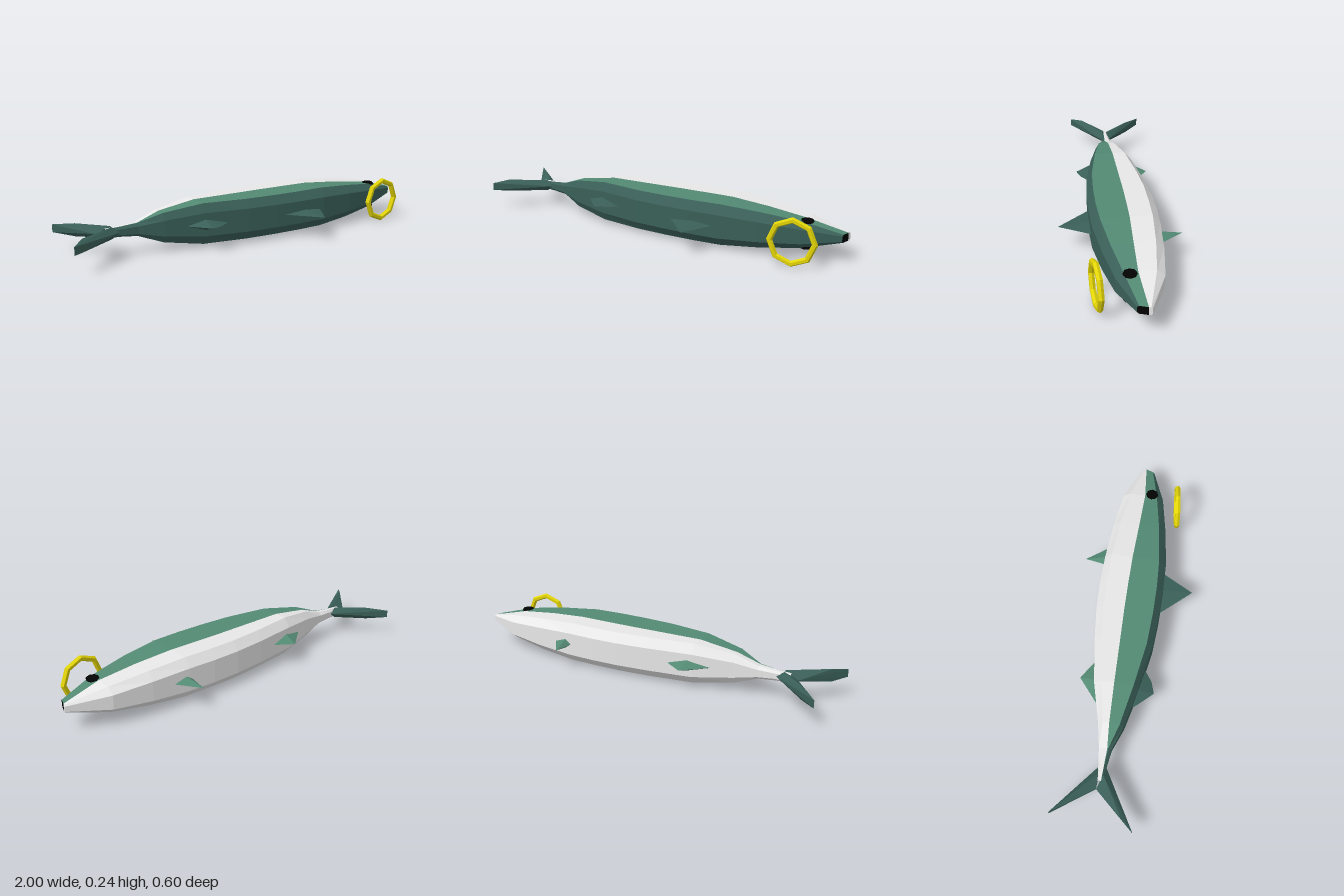
import * as THREE from 'three';
import { ConvexGeometry } from 'three/addons/geometries/ConvexGeometry.js';

const CY = 0.125; // height of the body axis

const material = (name, color) => {
  const m = new THREE.MeshStandardMaterial({ color });
  m.name = name;
  return m;
};

function flat(points) {
  const g = new THREE.BufferGeometry().setFromPoints(points);
  g.computeVertexNormals();
  return g;
}

// Flat-faced skin between consecutive rings, from ring point j0 to j1
function skin(rings, j0, j1) {
  const out = [];
  const n = rings[0].length;
  for (let i = 0; i < rings.length - 1; i++) {
    for (let j = j0; j < j1; j++) {
      const k = (j + 1) % n;
      const a = rings[i][j], b = rings[i][k], c = rings[i + 1][k], d = rings[i + 1][j];
      out.push(a, b, c, a, c, d);
    }
  }
  return flat(out);
}

// Fan that closes part of a ring, from point j0 to j1
function cap(ring, j0, j1) {
  const out = [];
  for (let j = j0 + 1; j < j1; j++) out.push(ring[j0], ring[j], ring[(j + 1) % ring.length]);
  return flat(out);
}

// Convex solid from [x, z, halfThickness] corners
function solid(corners) {
  const pts = [];
  for (const [x, z, h] of corners) {
    pts.push(new THREE.Vector3(x, CY + h, z));
    if (h > 0) pts.push(new THREE.Vector3(x, CY - h, z));
  }
  return new ConvexGeometry(pts);
}

export function createModel() {
  const group = new THREE.Group();
  const green = material('sea green', 0x538a74);
  const dark = material('dark green', 0x3a5f58);
  const white = material('pale belly', 0xf0f0f0);
  const black = material('black', 0x030303);
  const yellow = material('yellow', 0xe2d408);

  const add = (name, geometry, mat) => {
    const mesh = new THREE.Mesh(geometry, mat);
    mesh.name = name;
    group.add(mesh);
    return mesh;
  };

  // Body stations: x, belly z, belly ridge z, colour split z, back ridge z, back z, half height, half side height
  const stations = [
    [-0.78, -0.045, -0.04, -0.026, -0.025, -0.015, 0.022, 0.012],
    [-0.70, -0.052, -0.042, -0.023, -0.022, -0.01, 0.026, 0.014],
    [-0.62, -0.062, -0.046, -0.02, -0.015, 0.002, 0.033, 0.019],
    [-0.50, -0.085, -0.06, -0.028, 0.025, 0.045, 0.075, 0.04],
    [-0.30, -0.137, -0.1, -0.033, 0.065, 0.09, 0.105, 0.06],
    [-0.07, -0.172, -0.135, -0.038, 0.1, 0.13, 0.105, 0.06],
    [0.10, -0.19, -0.152, -0.042, 0.108, 0.141, 0.105, 0.06],
    [0.25, -0.195, -0.155, -0.043, 0.108, 0.143, 0.105, 0.06],
    [0.40, -0.191, -0.153, -0.042, 0.1, 0.138, 0.105, 0.06],
    [0.60, -0.177, -0.138, -0.035, 0.073, 0.11, 0.09, 0.05],
    [0.80, -0.15, -0.112, -0.03, 0.035, 0.07, 0.066, 0.036],
    [0.99, -0.065, -0.059, -0.049, -0.01, -0.002, 0.02, 0.013],
  ];
  const rings = stations.map(([x, zb, zbr, zs, zkr, zk, h, s], i) => {
    const nose = i === stations.length - 1;
    const section = [[zs, -h], [zbr, -h], [zb, -s], [zb, s], [zbr, h],
      [zs, h], [zkr, h], [zk, s], [zk, -s], [zkr, -h]];
    return section.map(([z, y]) =>
      new THREE.Vector3(nose ? x - 0.32 * (z + 0.034) : x, CY + y, z));
  });
  add('belly', skin(rings, 0, 5), white);
  add('upperFlank', skin(rings, 5, 6), green);
  add('back', skin(rings, 6, 9), dark);
  add('lowerFlank', skin(rings, 9, 10), green);

  // Slanted nose: pale chin and dark mouth
  const lip = rings[rings.length - 1];
  add('chin', cap(lip, 0, 5), white);
  add('mouth', cap(lip, 5, 10), black);

  // Fins along the back and the belly
  add('frontBackFin', solid([[0.13, 0.125, 0], [0.38, 0.12, 0], [0.27, 0.12, 0.012], [0.285, 0.297, 0]]), dark);
  add('rearBackFin', solid([[-0.41, 0.05, 0], [-0.17, 0.1, 0], [-0.3, 0.08, 0.03],
    [-0.3, 0.17, 0], [-0.24, 0.15, 0]]), dark);
  add('frontBellyFin', solid([[0.38, -0.17, 0], [0.49, -0.175, 0], [0.42, -0.17, 0.028], [0.4, -0.299, 0]]), green);
  add('rearBellyFin', solid([[-0.42, -0.09, 0], [-0.16, -0.145, 0], [-0.28, -0.12, 0.035], [-0.27, -0.217, 0]]), green);

  // Forked tail, thickest halfway along each lobe
  add('tailLobeBelly', solid([[-0.71, -0.05, 0], [-0.75, -0.045, 0.03], [-0.82, -0.045, 0],
    [-0.88, -0.17, 0.033], [-0.965, -0.255, 0.02]]), dark);
  add('tailLobeBack', solid([[-0.71, -0.01, 0], [-0.75, -0.02, 0.03], [-0.82, -0.045, 0],
    [-0.94, 0.095, 0.033], [-1, 0.16, 0.02]]), dark);

  // Flattened eyes on both flanks
  for (const side of [1, -1]) {
    const geometry = new THREE.SphereGeometry(0.034, 8, 6).scale(1, 0.4, 1).toNonIndexed();
    geometry.computeVertexNormals();
    const eye = add(side > 0 ? 'upperEye' : 'lowerEye', geometry, black);
    eye.position.set(0.81, CY + side * 0.064, 0.007);
  }

  // Faceted ring beside the head
  const ringGeometry = new THREE.TorusGeometry(0.107, 0.015, 6, 8).toNonIndexed();
  ringGeometry.computeVertexNormals();
  const ring = add('ring', ringGeometry, yellow);
  ring.position.set(0.79, CY, 0.152);
  ring.rotation.y = 0.125;

  return group;
}
